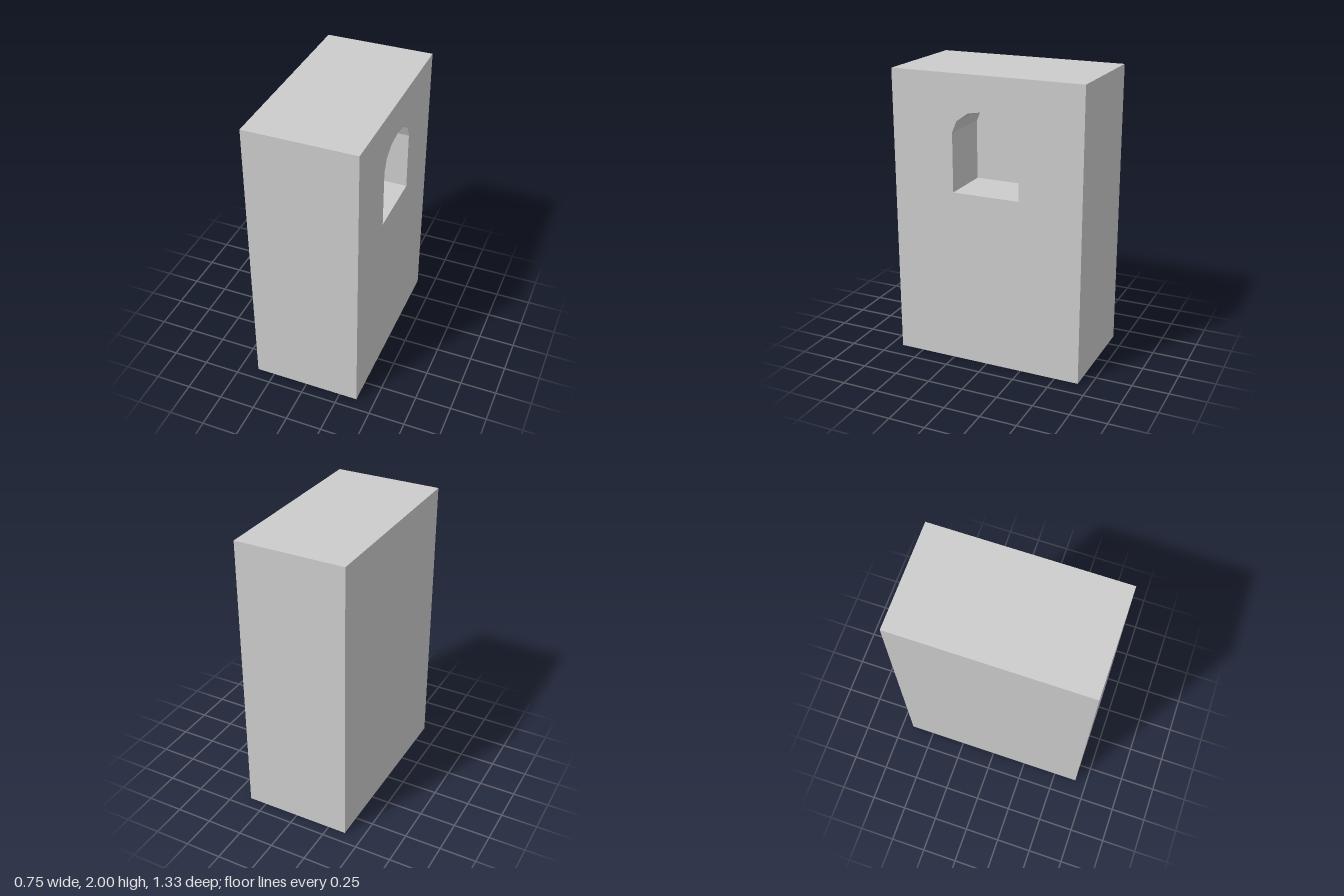
import * as THREE from 'three';

const WIDTH = 0.75, HEIGHT = 2, LENGTH = 1.333, NICHE_DEPTH = 0.36;

export function createModel() {
  const model = new THREE.Group();
  model.name = 'blockWithNiche';
  const material = new THREE.MeshStandardMaterial({ color: 0xcccccc, flatShading: true });

  const add = (name, geometry, parent = model) => {
    const mesh = new THREE.Mesh(geometry, material);
    mesh.name = name;
    parent.add(mesh);
    return mesh;
  };

  // Block body, without its +x face
  const body = new THREE.BoxGeometry(WIDTH, HEIGHT, LENGTH).translate(0, HEIGHT / 2, 0);
  body.setIndex(Array.from(body.index.array).slice(6));
  body.clearGroups();
  add('body', body);

  // Arched outline, counter-clockwise, mirrored about its middle
  const half = [[0.233, 1.21], [0.233, 1.613], [0.2, 1.692], [0.117, 1.75]];
  const outline = [
    ...half,
    [0, 1.77],
    ...half.map(([u, v]) => [-u, v]).reverse(),
  ].map(([u, v]) => new THREE.Vector2(u, v));

  // Drawn in the xy plane, then turned so local +z becomes +x
  const side = new THREE.Group();
  side.name = 'nicheSide';
  side.rotation.y = Math.PI / 2;
  side.position.x = WIDTH / 2;
  model.add(side);

  // +x face with the arched opening
  const l = LENGTH / 2;
  const face = new THREE.Shape([[-l, 0], [l, 0], [l, HEIGHT], [-l, HEIGHT]]
    .map(([u, v]) => new THREE.Vector2(u, v)));
  face.holes.push(new THREE.Path(outline));
  add('openingFace', new THREE.ShapeGeometry(face), side);

  // Back wall of the niche
  add('nicheBack', new THREE.ShapeGeometry(new THREE.Shape(outline)), side).position.z = -NICHE_DEPTH;

  // Floor, sides and faceted vault of the niche, facing inwards
  const positions = [];
  outline.forEach((a, i) => {
    const b = outline[(i + 1) % outline.length];
    const aFront = [a.x, a.y, 0], aBack = [a.x, a.y, -NICHE_DEPTH];
    const bFront = [b.x, b.y, 0], bBack = [b.x, b.y, -NICHE_DEPTH];
    positions.push(...aFront, ...bFront, ...bBack, ...aFront, ...bBack, ...aBack);
  });
  const walls = new THREE.BufferGeometry();
  walls.setAttribute('position', new THREE.Float32BufferAttribute(positions, 3));
  walls.computeVertexNormals();
  add('nicheWalls', walls, side);

  return model;
}
